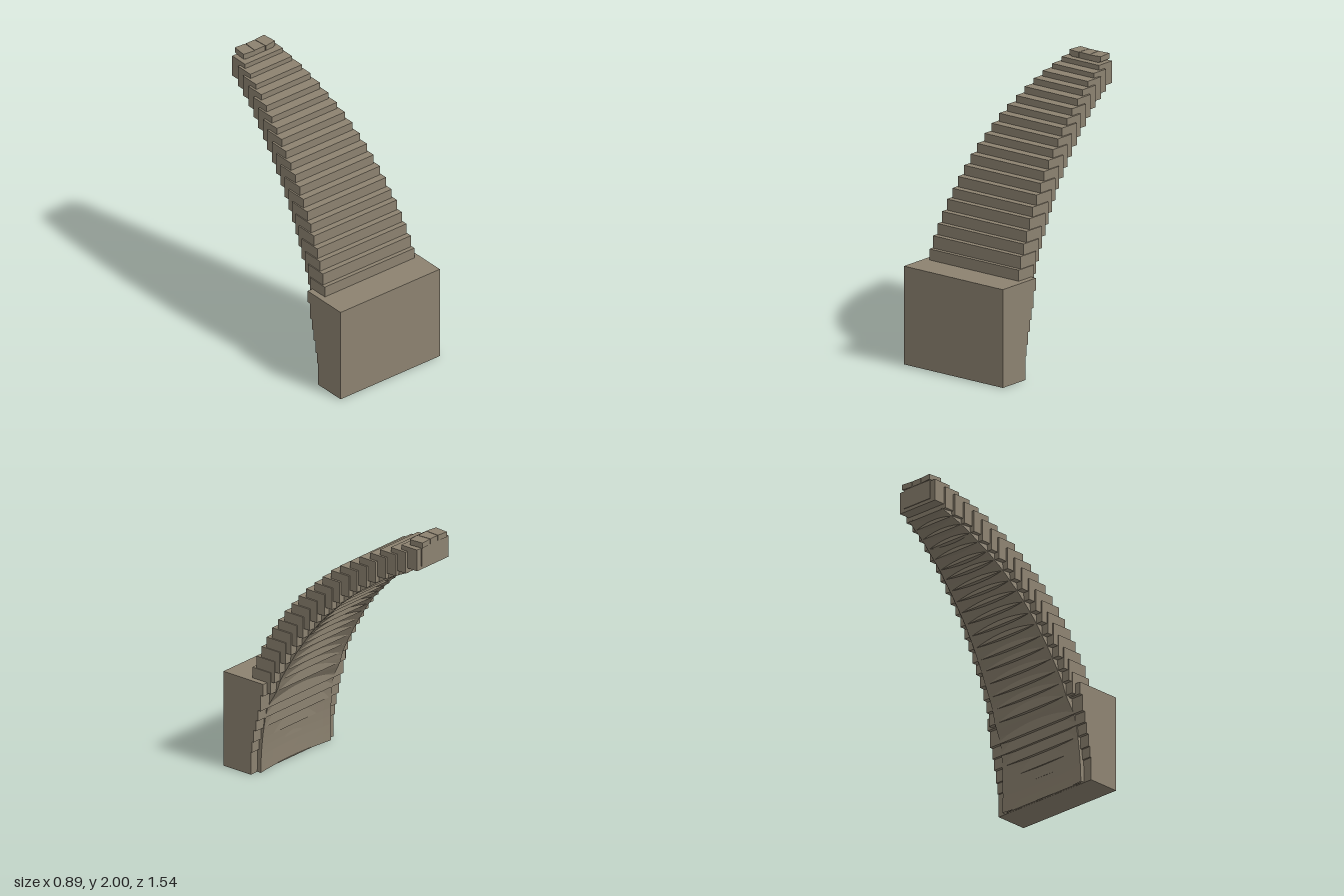
import * as THREE from 'three';

// Rising slabs: [top y, front z, back z, half width]
const SLABS = [
  [0.79, 0.545, 0.38, 0.40], [0.88, 0.515, 0.35, 0.393], [0.96, 0.475, 0.31, 0.386],
  [1.04, 0.435, 0.265, 0.378], [1.12, 0.39, 0.22, 0.37], [1.19, 0.345, 0.175, 0.36],
  [1.265, 0.295, 0.127, 0.352], [1.335, 0.24, 0.075, 0.342], [1.405, 0.185, 0.02, 0.33],
  [1.47, 0.125, -0.04, 0.32], [1.53, 0.06, -0.10, 0.308], [1.59, -0.005, -0.16, 0.297],
  [1.65, -0.07, -0.23, 0.282], [1.70, -0.14, -0.29, 0.268], [1.75, -0.215, -0.365, 0.252],
  [1.80, -0.29, -0.435, 0.238], [1.845, -0.37, -0.51, 0.22], [1.885, -0.445, -0.59, 0.204],
  [1.92, -0.53, -0.665, 0.187], [1.955, -0.61, -0.752, 0.168],
];
const SLAB_HEIGHT = 0.16;

// Base courses, stepping back as they rise: [bottom y, top y, back z]
const COURSES = [
  [0, 0.17, 0.522], [0.17, 0.25, 0.51], [0.25, 0.34, 0.497], [0.34, 0.42, 0.475],
  [0.42, 0.5, 0.458], [0.5, 0.62, 0.435], [0.62, 0.71, 0.41],
];

export function createModel() {
  const stone = new THREE.MeshStandardMaterial({ color: 0x8c8270 });
  stone.name = 'stone';
  const stoneThin = stone;
  stoneThin.side = THREE.DoubleSide;
  const model = new THREE.Group();
  model.name = 'steppedArch';

  const add = (parent, name, geometry) => {
    const mesh = new THREE.Mesh(geometry, stone);
    mesh.name = name;
    parent.add(mesh);
    return mesh;
  };
  const block = (parent, name, halfWidth, y0, y1, z0, z1) => {
    const mesh = add(parent, name, new THREE.BoxGeometry(halfWidth * 2, y1 - y0, z1 - z0));
    mesh.position.set(0, (y0 + y1) / 2, (z0 + z1) / 2);
  };

  // Base: one outline with a stepped back, extruded across the width
  const outline = new THREE.Shape();
  outline.moveTo(0.77, 0);
  for (const [y0, y1, back] of COURSES) outline.lineTo(back, y0).lineTo(back, y1);
  outline.lineTo(0.77, 0.71);
  const baseGeometry = new THREE.ExtrudeGeometry(outline, { depth: 0.886, bevelEnabled: false });
  baseGeometry.rotateY(-Math.PI / 2).translate(0.443, 0, 0);
  add(model, 'base', baseGeometry);

  // Overlapping slabs climbing backwards
  const steps = new THREE.Group();
  steps.name = 'steps';
  model.add(steps);
  for (const [top, front, back, halfWidth] of SLABS) {
    block(steps, 'step', halfWidth, top - SLAB_HEIGHT, top, back, front);
  }

  // Hollow-curved lining under the steps
  const path = [[0, 0.49, 0.375], [0.17, 0.486, 0.37], [0.34, 0.472, 0.362], [0.5, 0.444, 0.352]];
  for (const [top, , back, halfWidth] of SLABS.slice(0, -1)) {
    path.push([top - SLAB_HEIGHT, back - 0.004, halfWidth * 0.85]);
  }
  const curve = new THREE.CatmullRomCurve3(path.map(([y, z, w]) => new THREE.Vector3(w, y, z)));
  const rows = 60, across = 12;
  const positions = [], indices = [];
  for (let i = 0; i <= rows; i++) {
    const p = curve.getPoint(i / rows), t = curve.getTangent(i / rows);
    const length = Math.hypot(t.y, t.z), ny = -t.z / length, nz = t.y / length;
    for (let j = 0; j <= across; j++) {
      // First and last points fold inwards as flanks
      const s = Math.max(-1, Math.min(1, (j - across / 2) / (across / 2 - 1)));
      const flank = j === 0 || j === across;
      const inset = flank ? 0.05 : 0.026 * (1 - s * s);
      positions.push(p.x * s, Math.max(0, p.y + ny * inset), p.z + nz * inset);
      if (i < rows && j < across) {
        const a = i * (across + 1) + j, b = a + across + 1;
        indices.push(a, b, a + 1, b, b + 1, a + 1);
      }
    }
  }
  const lining = new THREE.BufferGeometry();
  lining.setAttribute('position', new THREE.Float32BufferAttribute(positions, 3));
  lining.setIndex(indices);
  const flat = lining.toNonIndexed();
  flat.computeVertexNormals();
  add(model, 'lining', flat);

  // Flat underside closing the lining's foot
  const foot = new THREE.BoxGeometry(0.7, 0.004, 0.03);
  add(model, 'liningFoot', foot).position.set(0, 0.003, 0.523);

  // Three cap stones at the tip, fanned slightly: corners as [x, z]
  const caps = new THREE.Group();
  caps.name = 'capStones';
  model.add(caps);
  const side = [[0.13, -0.77], [0.043, -0.762], [0.05, -0.65], [0.14, -0.662]];
  const centre = [[0.038, -0.762], [-0.038, -0.762], [-0.046, -0.655], [0.046, -0.655]];
  const cap = (corners, name) => {
    const shape = new THREE.Shape(corners.map(([x, z]) => new THREE.Vector2(x, -z)));
    const geometry = new THREE.ExtrudeGeometry(shape, { depth: 0.04, bevelEnabled: false });
    geometry.rotateX(-Math.PI / 2).translate(0, 1.96, 0);
    add(caps, name, geometry);
  };
  cap(centre, 'centreCap');
  cap(side, 'leftCap');
  cap(side.map(([x, z]) => [-x, z]), 'rightCap');
  block(caps, 'capBed', 0.125, 1.95, 1.97, -0.75, -0.66);

  // Shallow panel on the end face
  block(model, 'endPanel', 0.125, 1.82, 1.96, -0.758, -0.75);
  return model;
}
